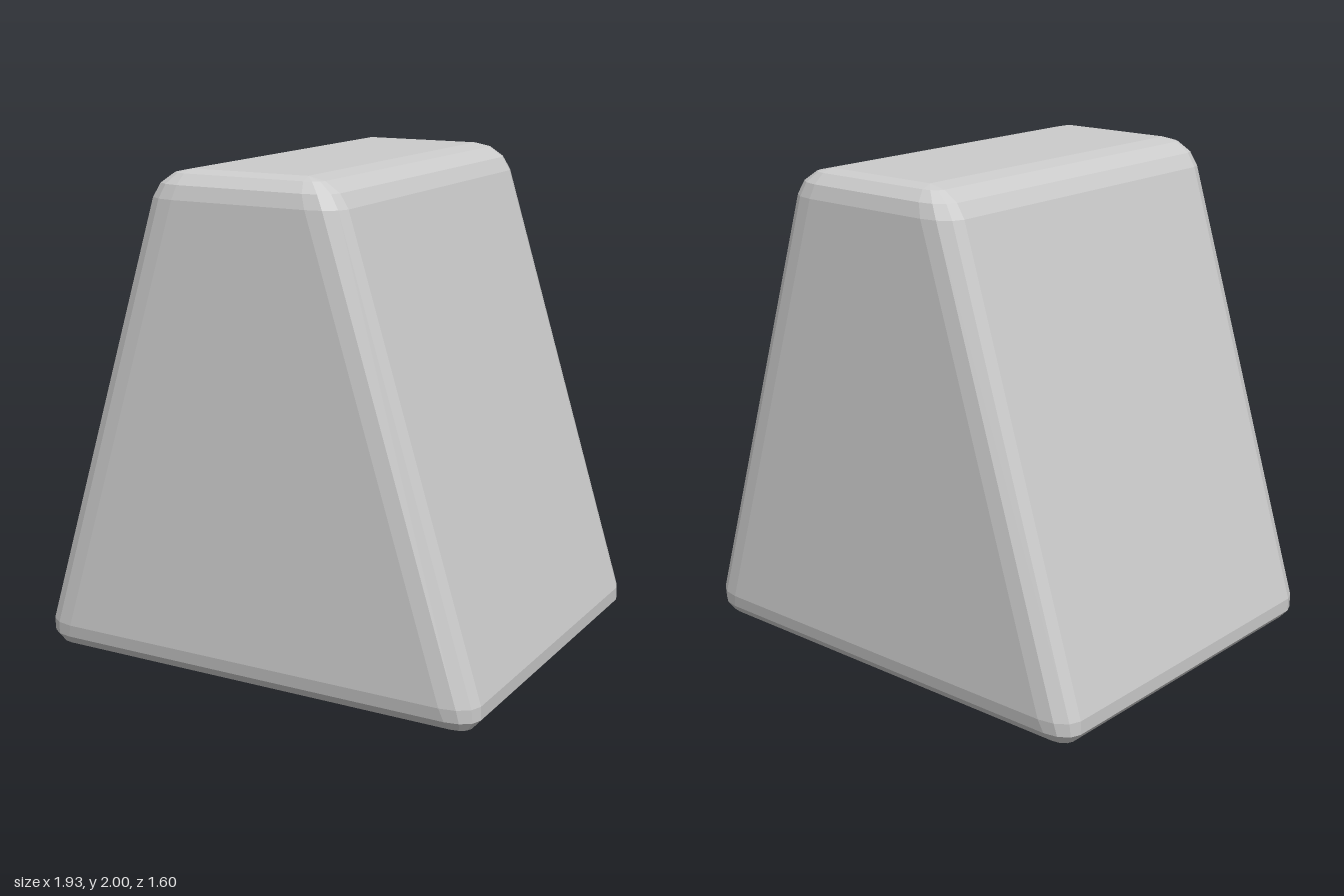
import * as THREE from 'three';
import { ConvexGeometry } from 'three/addons/geometries/ConvexGeometry.js';

const BOTTOM = 1.0, TOP = 0.38, HEIGHT = 2, DEPTH = 0.8; // half widths, height, half depth
const BEVEL = { x: 0.13, y: 0.11, z: 0.09 };
const STEPS = 3;

// Half width of the tapered sides at a given height
const halfWidth = (y) => THREE.MathUtils.lerp(BOTTOM, TOP, y / HEIGHT);

// Points of one rounded corner, sheared to follow the slanted side
function cornerPoints(sx, top, sz) {
  const points = [];
  for (let i = 0; i <= STEPS; i++) {
    const lat = (i / STEPS) * Math.PI / 2;
    const columns = i === STEPS ? 0 : STEPS;
    for (let j = 0; j <= columns; j++) {
      const lon = (j / STEPS) * Math.PI / 2;
      const inX = BEVEL.x * (1 - Math.cos(lat) * Math.cos(lon));
      const inY = BEVEL.y * (1 - Math.sin(lat));
      const inZ = BEVEL.z * (1 - Math.cos(lat) * Math.sin(lon));
      const y = top ? HEIGHT - inY : inY;
      points.push(new THREE.Vector3(sx * (halfWidth(y) - inX), y, sz * (DEPTH - inZ)));
    }
  }
  return points;
}

export function createModel() {
  const group = new THREE.Group();
  group.name = 'taperedBlock';

  // Eight rounded corners wrapped into one bevelled wedge block
  const points = [];
  for (const sx of [-1, 1])
    for (const top of [false, true])
      for (const sz of [-1, 1]) points.push(...cornerPoints(sx, top, sz));

  const material = new THREE.MeshStandardMaterial({ color: 0xcccccc, flatShading: true });
  const block = new THREE.Mesh(new ConvexGeometry(points), material);
  block.name = 'block';
  group.add(block);
  return group;
}
